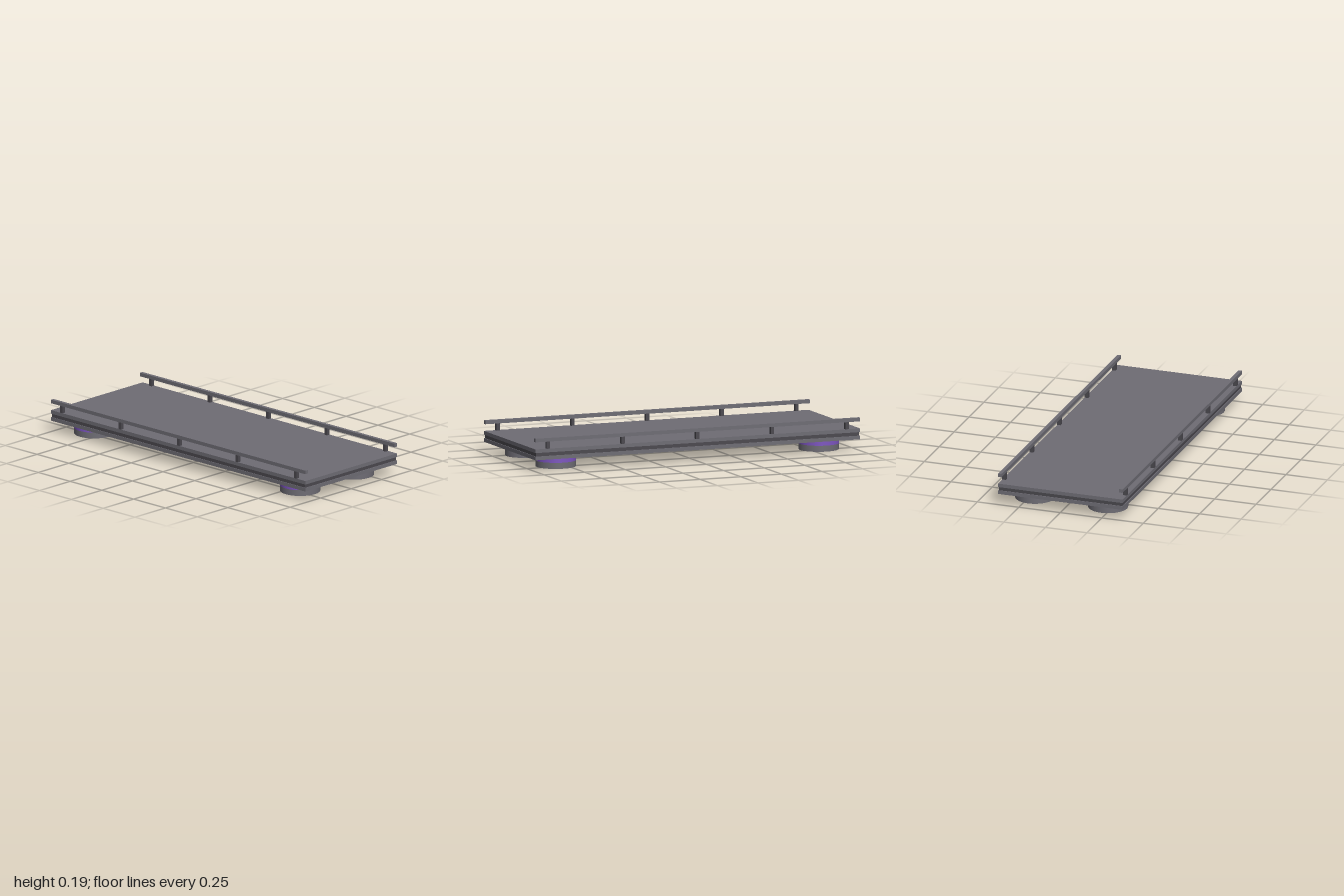
import * as THREE from 'three';

const LENGTH = 2, WIDTH = 0.75;
const mat = (color) => new THREE.MeshStandardMaterial({ color });

export function createModel() {
  const model = new THREE.Group();
  model.name = 'hoverPlatform';
  const grey = mat(0x6e6c74), dark = mat(0x4a484e), purple = mat(0x7d55c0);

  const add = (name, geometry, material, x, y, z) => {
    const mesh = new THREE.Mesh(geometry, material);
    mesh.name = name;
    mesh.position.set(x, y, z);
    model.add(mesh);
  };

  // Deck: two plates with a slightly recessed dark core between them
  const plate = new THREE.BoxGeometry(LENGTH, 0.021, WIDTH);
  add('lowerPlate', plate, grey, 0, 0.0755, 0);
  add('deckCore', new THREE.BoxGeometry(LENGTH - 0.01, 0.021, WIDTH - 0.008), dark, 0, 0.0962, 0);
  add('upperPlate', plate, grey, 0, 0.117, 0);

  // Side rails carried on short posts
  const rail = new THREE.BoxGeometry(LENGTH, 0.021, 0.021);
  const post = new THREE.BoxGeometry(0.021, 0.042, 0.021);
  for (const side of [1, -1]) {
    const z = side * (WIDTH / 2 - 0.0105);
    const label = side > 0 ? 'front' : 'back';
    add(label + 'Rail', rail, grey, 0, 0.1785, z);
    for (let i = -2; i <= 2; i++) add(label + 'Post', post, dark, i * 0.46, 0.148, z);
  }

  // Round pads under the corners, each with a coloured upper band
  const pad = new THREE.CylinderGeometry(0.1145, 0.1145, 0.065, 32);
  const band = new THREE.CylinderGeometry(0.116, 0.116, 0.03, 32);
  for (const x of [0.81, -0.81]) {
    for (const z of [0.22, -0.22]) {
      add('pad', pad, grey, x, 0.0325, z);
      add('padBand', band, purple, x, 0.05, z);
    }
  }
  return model;
}
